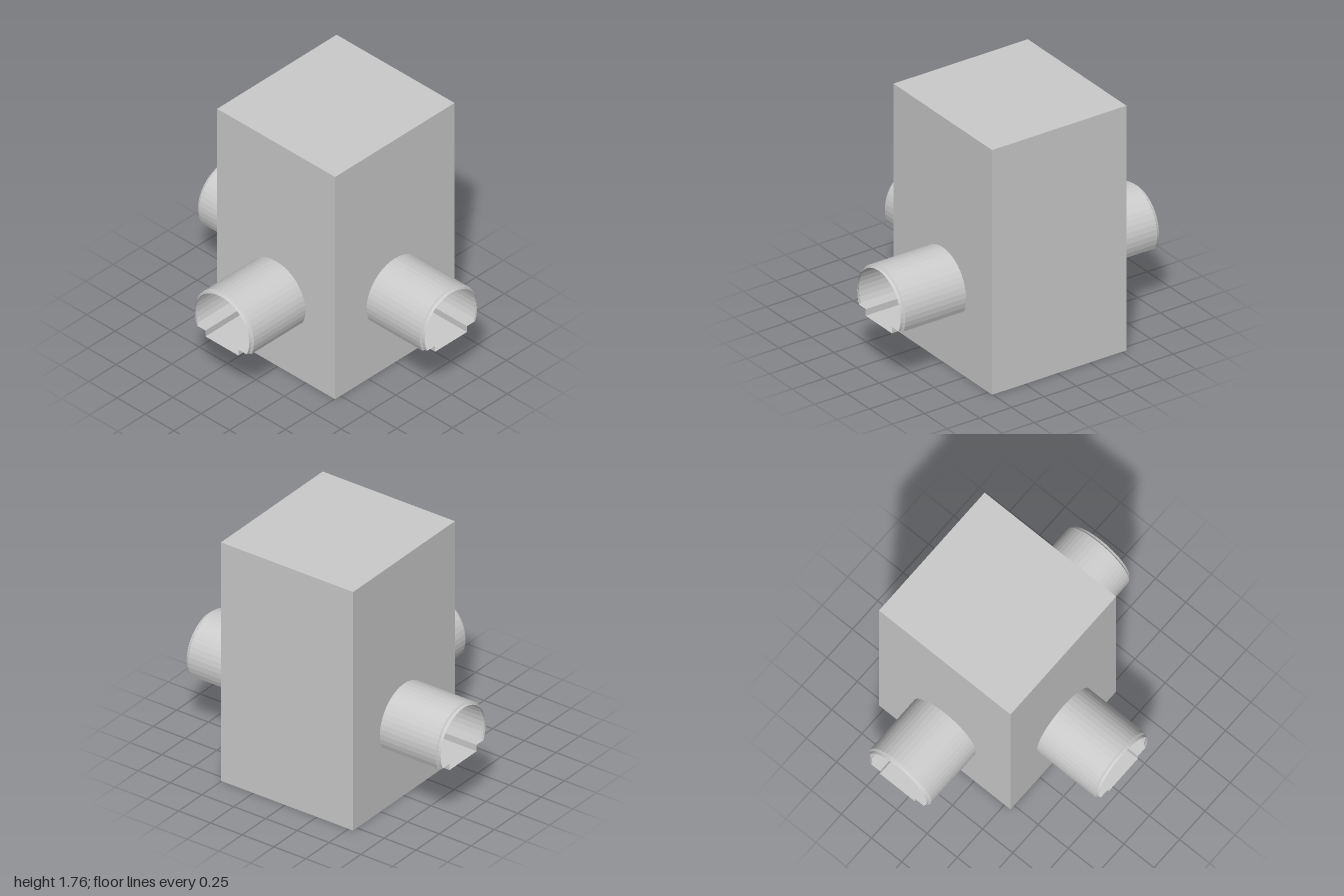
import * as THREE from 'three';

const HEIGHT = 1.76, WIDTH = 1.09, DEPTH = 1.04;
const AXIS_Y = 0.565, RADIUS = 0.258;
const material = new THREE.MeshStandardMaterial({ color: 0xcccccc, flatShading: true, side: THREE.DoubleSide });

// Closed tunnel outline: round vault, two ledges and a sunken floor channel
function outline(radius, segments = 28) {
  const ledge = -0.1, floor = -0.147, half = 0.145;
  const start = Math.asin(ledge / radius);
  const points = [];
  for (let i = 0; i <= segments; i++) {
    const a = start + (Math.PI - 2 * start) * i / segments;
    points.push(new THREE.Vector2(radius * Math.cos(a), AXIS_Y + radius * Math.sin(a)));
  }
  for (const [x, y] of [[-half, ledge], [-half, floor], [half, floor], [half, ledge]]) {
    points.push(new THREE.Vector2(x, AXIS_Y + y));
  }
  return points;
}

// Thin tunnel shell lofted along +z, with a bevelled lip at the open end
function tunnelGeometry(length) {
  const stations = [[0, RADIUS], [length - 0.025, RADIUS], [length - 0.016, 0.245], [length, 0.24]];
  const positions = [], indices = [];
  const n = outline(RADIUS).length;
  stations.forEach(([z, r], s) => {
    outline(r).forEach((p, i) => {
      positions.push(p.x, p.y, z);
      if (s === 0) return;
      const a = (s - 1) * n + i, b = (s - 1) * n + (i + 1) % n;
      indices.push(a, b, b + n, a, b + n, a + n);
    });
  });
  const geometry = new THREE.BufferGeometry();
  geometry.setAttribute('position', new THREE.Float32BufferAttribute(positions, 3));
  geometry.setIndex(indices);
  geometry.computeVertexNormals();
  return geometry;
}

// Flat wall, optionally cut to the tunnel outline
function wallGeometry(width, hasOpening) {
  const w = width / 2;
  const shape = new THREE.Shape([[-w, 0], [w, 0], [w, HEIGHT], [-w, HEIGHT]].map(p => new THREE.Vector2(...p)));
  if (hasOpening) shape.holes.push(new THREE.Path(outline(RADIUS)));
  return new THREE.ShapeGeometry(shape);
}

function add(parent, name, geometry) {
  const mesh = new THREE.Mesh(geometry, material);
  mesh.name = name;
  parent.add(mesh);
  return mesh;
}

export function createModel() {
  const model = new THREE.Group();
  model.name = 'tunnelJunction';

  // Each side: wall and, on three of them, a tunnel stub (length 0 = plain)
  const sides = [
    { name: 'front', angle: 0, width: WIDTH, distance: DEPTH / 2, length: 0.495 },
    { name: 'back', angle: Math.PI, width: WIDTH, distance: DEPTH / 2, length: 0.465 },
    { name: 'right', angle: -Math.PI / 2, width: DEPTH, distance: WIDTH / 2, length: 0.495 },
    { name: 'left', angle: Math.PI / 2, width: DEPTH, distance: WIDTH / 2, length: 0 },
  ];
  for (const { name, angle, width, distance, length } of sides) {
    const side = new THREE.Group();
    side.name = name + 'Side';
    side.rotation.y = angle;
    add(side, name + 'Wall', wallGeometry(width, length > 0)).position.z = distance;
    if (length > 0) add(side, name + 'Tunnel', tunnelGeometry(length)).position.z = distance;
    model.add(side);
  }

  // Roof; the underside stays open
  const roof = add(model, 'roof', new THREE.PlaneGeometry(WIDTH, DEPTH));
  roof.rotation.x = -Math.PI / 2;
  roof.position.y = HEIGHT;

  // The tower sits off centre so that the whole is centred
  for (const child of model.children) {
    child.position.x = 0.245;
    child.position.z = -0.015;
  }
  return model;
}
